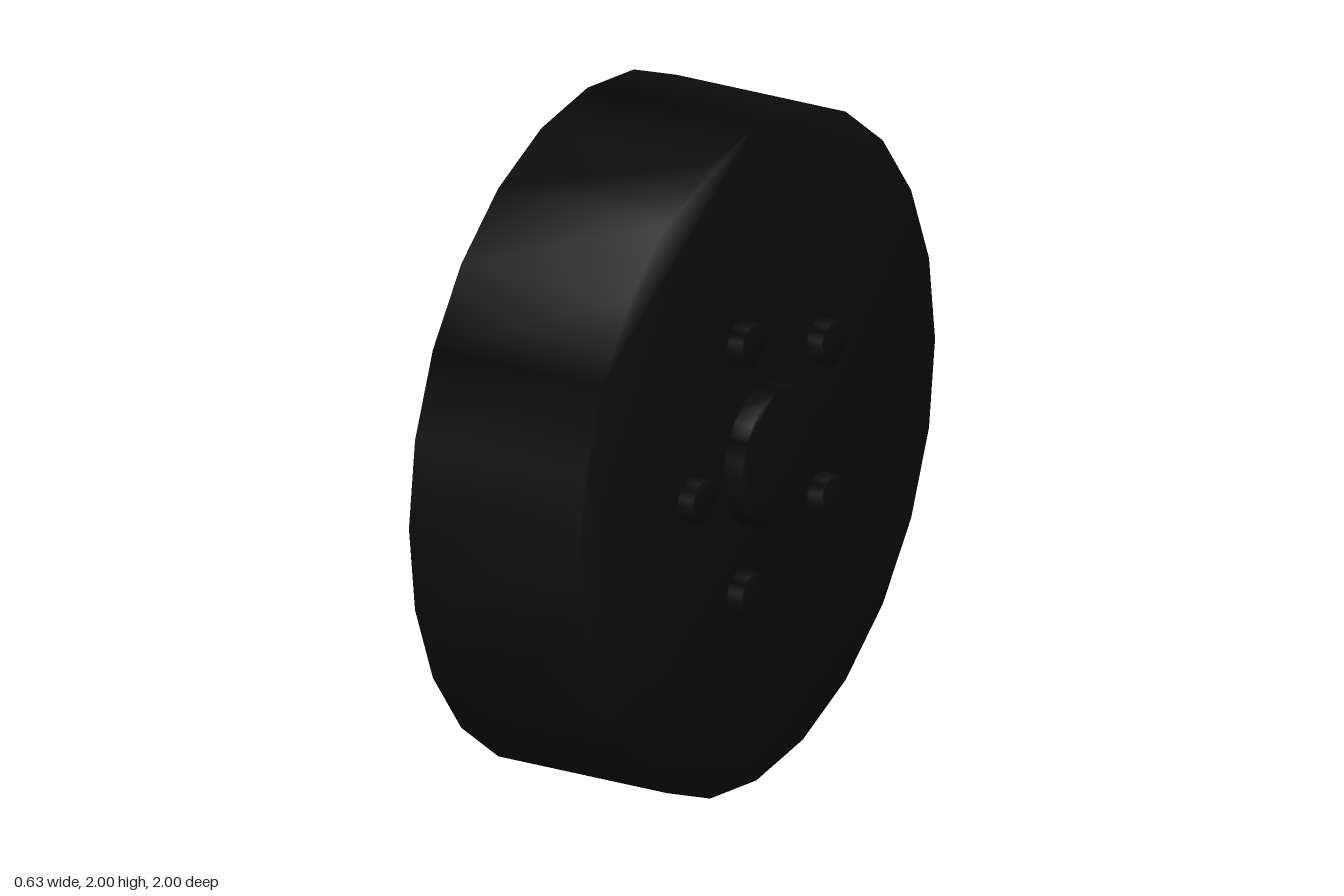
import * as THREE from 'three';
import { mergeVertices } from 'three/addons/utils/BufferGeometryUtils.js';

// Disc lying across the x axis from x0 to x1, with normals shared over the rim
function discGeometry(radius, sides, x0, x1) {
  const points = [];
  for (let i = 0; i < sides; i++) {
    const a = (i / sides) * Math.PI * 2;
    points.push(new THREE.Vector2(Math.cos(a) * radius, Math.sin(a) * radius));
  }
  let geometry = new THREE.ExtrudeGeometry(new THREE.Shape(points), {
    depth: x1 - x0, bevelEnabled: false, steps: 1,
  });
  geometry.deleteAttribute('uv');
  geometry.deleteAttribute('normal');
  geometry = mergeVertices(geometry, 1e-4);
  geometry.rotateY(Math.PI / 2);
  geometry.translate(x0, 0, 0);
  geometry.computeVertexNormals();
  return geometry;
}

export function createModel() {
  const group = new THREE.Group();
  group.name = 'wheel';
  const rubber = new THREE.MeshStandardMaterial({ color: 0x0d0d0d });
  rubber.name = 'black rubber';

  function add(name, geometry, y, z) {
    const mesh = new THREE.Mesh(geometry, rubber);
    mesh.name = name;
    mesh.position.set(0, y, z);
    group.add(mesh);
  }

  // Tyre and hub cap
  add('tyre', discGeometry(1, 24, -0.314, 0.24), 1, 0);
  add('hubCap', discGeometry(0.207, 24, 0.254, 0.314), 1, 0);

  // Ring of five wheel nuts, the first pointing forward
  const nut = discGeometry(0.065, 16, 0.254, 0.302);
  for (let i = 0; i < 5; i++) {
    const a = (i / 5) * Math.PI * 2;
    add('wheelNut' + (i + 1), nut, 1 + Math.sin(a) * 0.4, Math.cos(a) * 0.4);
  }
  return group;
}
